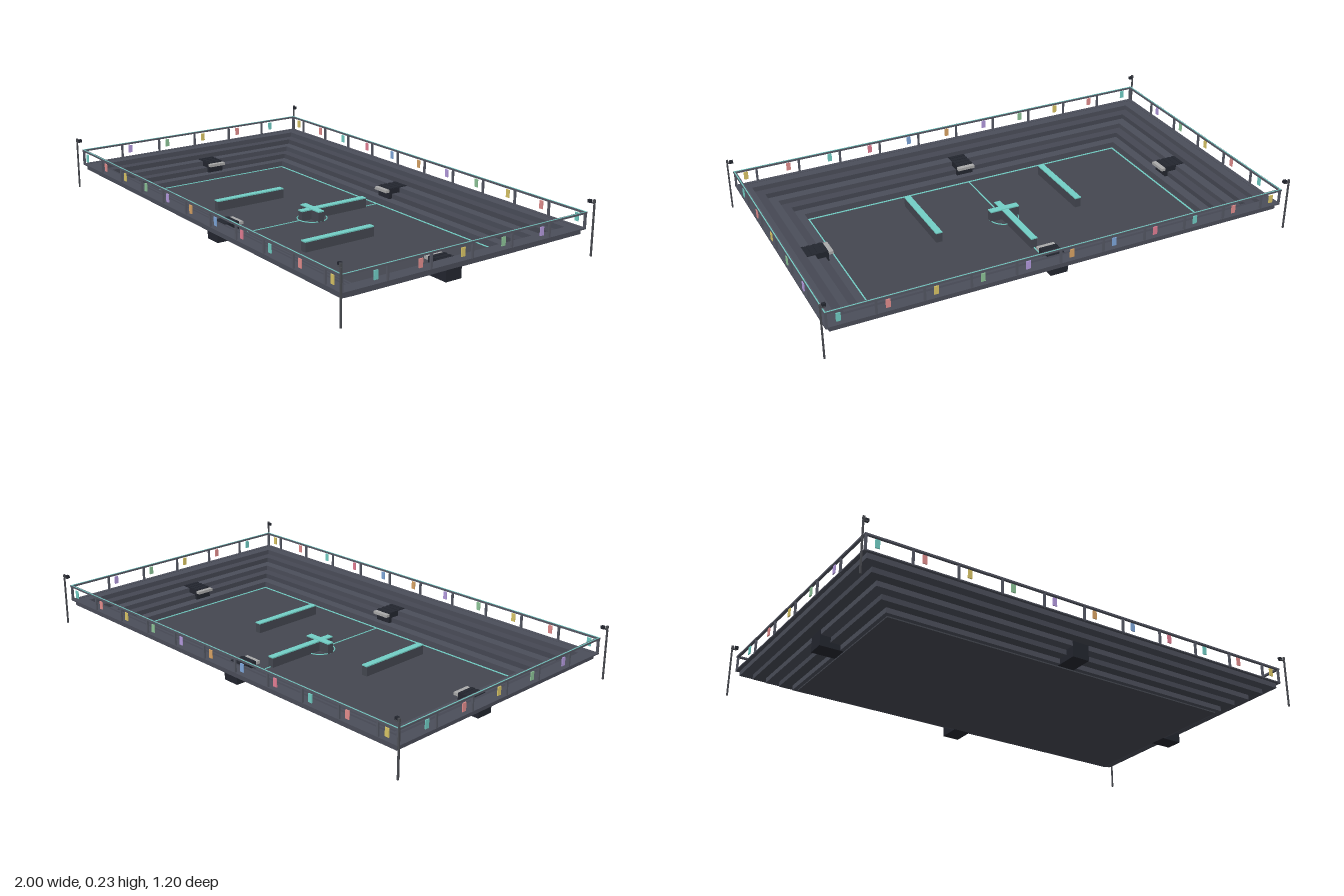
import * as THREE from 'three';

const mat = (color) => new THREE.MeshStandardMaterial({ color });
const M = {
  floor: mat(0x444750), tier: mat(0x4b4e5a), tierAlt: mat(0x454853), dark: mat(0x23262f),
  rail: mat(0x555864), teal: mat(0x72cfc6), grey: mat(0xaaaaaa), pole: mat(0x4a4c52),
};
const BANNERS = [0x72cfc6, 0xe58f8f, 0xdcc767, 0x8fc79a, 0xb59be0, 0xdca565, 0x7fa8dc, 0xe57f95].map(mat);

// Box by size and centre
function box(parent, name, material, w, h, d, x, y, z) {
  const m = new THREE.Mesh(new THREE.BoxGeometry(w, h, d), material);
  m.position.set(x, y, z);
  m.name = name;
  parent.add(m);
  return m;
}

// Rectangular ring with half extents ox, oz, width t, from y0 to y1
function frame(parent, name, material, ox, oz, t, y0, y1) {
  const rect = (P, a, b) => new P().moveTo(-a, -b).lineTo(a, -b).lineTo(a, b).lineTo(-a, b).closePath();
  const s = rect(THREE.Shape, ox, oz);
  s.holes.push(rect(THREE.Path, ox - t, oz - t));
  const g = new THREE.ExtrudeGeometry(s, { depth: y1 - y0, bevelEnabled: false });
  g.rotateX(-Math.PI / 2).translate(0, y0, 0);
  const m = new THREE.Mesh(g, material);
  m.name = name;
  parent.add(m);
}

// Low wall with a bright cap, standing on the floor
function wall(parent, name, w, d, x, z, h = 0.04) {
  const g = new THREE.Group();
  g.name = name;
  box(g, 'wallBody', M.floor, w, h, d, x, 0.006 + h / 2, z);
  box(g, 'wallCap', M.teal, w + 0.001, 0.005, d + 0.001, x, 0.0085 + h, z);
  parent.add(g);
}

// Posts and banners of one side; the side faces local +z
function railSide(name, half, dist, posts, firstBanner, bannerStep, banners) {
  const g = new THREE.Group();
  g.name = name;
  for (const x of posts) box(g, 'railPost', M.rail, 0.008, 0.065, 0.008, x, 0.144, dist);
  for (let i = 0; i < banners; i++)
    box(g, 'banner', BANNERS[i % BANNERS.length], 0.018, 0.034, 0.004, firstBanner + i * bannerStep, 0.15, dist + 0.004);
  return g;
}

// Entrance block with pale lintel, facing local +z
function entrance(outer) {
  const g = new THREE.Group();
  g.name = 'entrance';
  box(g, 'entranceTunnel', M.dark, 0.075, 0.072, 0.1, 0, 0.039, outer - 0.05);
  for (let i = 0; i < 4; i++)
    box(g, 'tunnelRib', M.dark, 0.075, 0.002, 0.012, 0, 0.076, outer - 0.015 - i * 0.024);
  box(g, 'entranceLintel', M.grey, 0.078, 0.012, 0.02, 0, 0.066, outer - 0.11);
  return g;
}

export function createModel() {
  const root = new THREE.Group();
  root.name = 'arena';

  // Floor and its markings
  box(root, 'floor', M.floor, 1.56, 0.006, 0.76, 0, 0.003, 0);
  frame(root, 'boundaryLine', M.teal, 0.744, 0.349, 0.007, 0.006, 0.008);
  box(root, 'centreLine', M.teal, 0.005, 0.002, 0.69, 0, 0.007, 0);
  const ring = new THREE.Mesh(new THREE.TorusGeometry(0.063, 0.0025, 6, 40), M.teal);
  ring.rotation.x = Math.PI / 2;
  ring.position.y = 0.007;
  ring.name = 'centreCircle';
  root.add(ring);

  // Obstacle walls and the cross in the middle
  for (const s of [-1, 1]) wall(root, 'sideWall', 0.027, 0.335, s * 0.323, 0.104);
  wall(root, 'middleWall', 0.027, 0.335, 0, -0.107);
  wall(root, 'crossWall', 0.13, 0.028, 0, 0, 0.042);

  // Stepped stands
  for (let i = 0; i < 5; i++) {
    const top = 0.03 + i * 0.0214;
    frame(root, 'standTier', i % 2 ? M.tierAlt : M.tier, 0.796 + i * 0.0418, 0.4 + i * 0.0418, 0.043, top - 0.025, top);
  }

  // Railing around the top
  frame(root, 'topRail', M.rail, 0.98, 0.58, 0.011, 0.174, 0.181);
  frame(root, 'railLight', M.teal, 0.978, 0.578, 0.004, 0.181, 0.182);
  frame(root, 'standRim', M.tier, 0.979, 0.579, 0.018, 0.112, 0.117);
  const longPosts = Array.from({ length: 11 }, (_, i) => -0.974 + i * 0.1856);
  const shortPosts = Array.from({ length: 7 }, (_, i) => -0.575 + i * 0.1917);
  for (let side = 0; side < 4; side++) {
    const long = side % 2 === 0;
    const g = long
      ? railSide('longRailing', 0.98, 0.574, longPosts, -0.93, 0.1858, 11)
      : railSide('shortRailing', 0.58, 0.974, shortPosts, -0.436, 0.194, 5);
    g.rotation.y = side * Math.PI / 2;
    root.add(g);
    const e = entrance(long ? 0.484 : 0.882);
    e.rotation.y = side * Math.PI / 2;
    root.add(e);
  }

  // Corner light poles
  for (const sx of [-1, 1]) for (const sz of [-1, 1]) {
    const g = new THREE.Group();
    g.name = 'lightPole';
    box(g, 'pole', M.pole, 0.006, 0.21, 0.006, sx * 0.997, 0.11, sz * 0.595);
    box(g, 'lampArm', M.pole, 0.02, 0.005, 0.006, sx * 0.988, 0.217, sz * 0.593);
    box(g, 'lampHead', M.dark, 0.014, 0.012, 0.012, sx * 0.981, 0.223, sz * 0.588);
    box(g, 'poleTip', M.pole, 0.008, 0.014, 0.008, sx * 0.996, 0.224, sz * 0.595);
    root.add(g);
  }
  return root;
}
